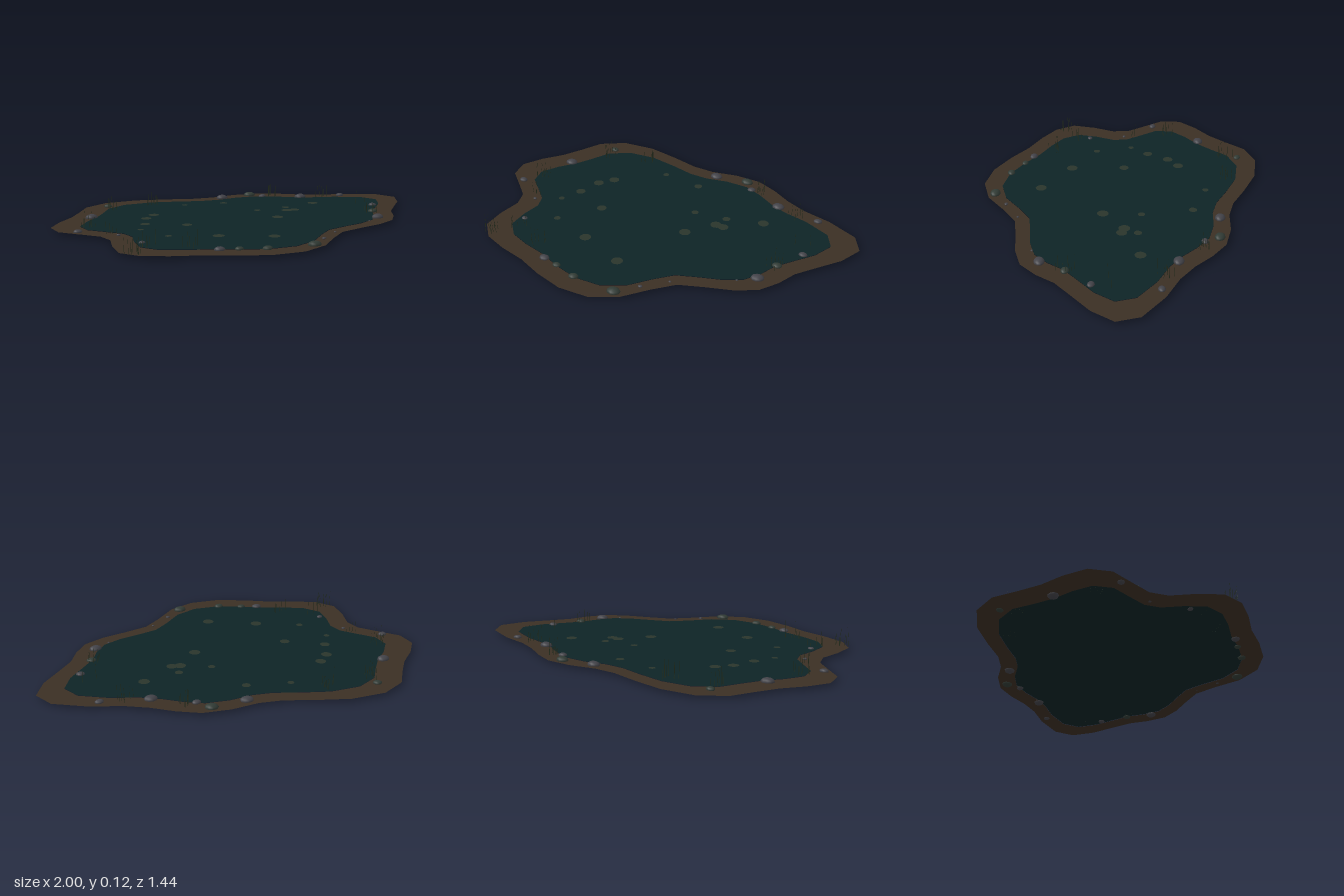
import * as THREE from 'three';

// Shoreline corners as x, z pairs in hundredths, clockwise seen from above
const SHORE = [
  -57, -72, -39, -72, -22, -67, -8, -62, 4, -60.5, 18, -62, 32, -60.5, 43, -54.5, 53, -47, 64, -41,
  79, -36, 95, -27, 100, -16, 94, -4, 84, 7, 76, 16, 71, 26, 64, 35, 53, 40, 40, 43,
  27, 46.5, 17, 55, 6, 66, -8, 72, -24, 71, -39, 65, -52, 58, -66, 53, -78, 47, -85, 37.5,
  -84, 25, -81, 13, -83, 4, -90, -4, -99, -14, -100, -25, -93, -35, -84, -44, -77, -54, -70, -65,
];
const INNER = 0.858;

// Rocks: x, z, radius, mossy flag
const ROCKS = [
  [-0.585, -0.615, 0.023, 1], [-0.75, -0.38, 0.034, 0], [-0.905, -0.095, 0.023, 0], [-0.745, 0.055, 0.011, 0],
  [-0.695, 0.25, 0.017, 0], [-0.42, 0.525, 0.027, 0], [-0.335, 0.555, 0.022, 1], [-0.215, 0.605, 0.026, 1],
  [0.015, 0.635, 0.035, 1], [0.115, 0.55, 0.012, 0], [0.23, 0.46, 0.008, 0], [0.08, -0.56, 0.034, 0],
  [0.26, -0.57, 0.034, 1], [0.31, -0.5, 0.023, 0], [0.5, -0.39, 0.034, 0], [0.735, -0.335, 0.023, 0],
  [0.75, -0.01, 0.023, 0], [0.66, 0.13, 0.026, 1], [0.605, 0.265, 0.034, 0], [0.52, 0.32, 0.007, 0],
];

// Lily pads: x, z, radius
const PADS = [
  [-0.19, -0.465, 0.017], [-0.435, -0.295, 0.028], [-0.5, -0.23, 0.028], [-0.55, -0.11, 0.026],
  [0.025, -0.417, 0.022], [0.11, -0.16, 0.019], [0.286, -0.165, 0.021], [0.255, -0.092, 0.03],
  [0.297, -0.085, 0.028], [0.478, -0.203, 0.029], [0.132, 0.037, 0.03], [-0.366, 0, 0.026],
  [-0.612, -0.005, 0.016], [-0.537, 0.182, 0.018], [-0.317, 0.284, 0.03], [-0.077, 0.407, 0.03],
];

// Reed tufts: x, z, blade count
const REEDS = [
  [-0.8, 0.41, 10], [-0.68, 0.33, 6], [-0.77, 0.03, 4], [-0.82, -0.18, 9], [-0.58, -0.55, 8],
  [-0.35, -0.57, 9], [-0.52, 0.42, 7], [0.37, -0.49, 8], [0.61, -0.34, 8], [0.65, 0.13, 8], [0.72, -0.1, 2],
];

function seeded(seed) {
  return () => {
    seed = (seed * 16807) % 2147483647;
    return seed / 2147483647;
  };
}

export function createModel() {
  const rand = seeded(4217);
  const group = new THREE.Group();
  group.name = 'pond';
  const material = (name, color, side = THREE.FrontSide) => {
    const m = new THREE.MeshStandardMaterial({ color, side });
    m.name = name;
    return m;
  };
  const mud = material('mud', 0x3b2f24, THREE.DoubleSide);
  const water = material('dark water', 0x0d2426, THREE.DoubleSide);
  const padGreen = material('pad green', 0x2a352b, THREE.DoubleSide);
  const stone = material('grey stone', 0x414147);
  const moss = material('mossy stone', 0x303a34);
  const reedGreen = material('reed green', 0x26301f, THREE.DoubleSide);

  const add = (name, geometry, mat, x = 0, y = 0, z = 0, parent = group) => {
    const mesh = new THREE.Mesh(geometry, mat);
    mesh.name = name;
    mesh.position.set(x, y, z);
    parent.add(mesh);
    return mesh;
  };
  const section = (name) => {
    const g = new THREE.Group();
    g.name = name;
    group.add(g);
    return g;
  };

  // Flat bank ring and the water sheet that fills it
  const outline = (scale) => {
    const points = [];
    for (let i = 0; i < SHORE.length; i += 2) {
      points.push(new THREE.Vector2(SHORE[i], -SHORE[i + 1]).multiplyScalar(scale / 100));
    }
    return points;
  };
  const flat = (shape) => new THREE.ShapeGeometry(shape).rotateX(-Math.PI / 2);
  const bank = new THREE.Shape(outline(1));
  bank.holes.push(new THREE.Path(outline(INNER)));
  add('bank', flat(bank), mud, 0, 0.016, 0);
  add('waterSurface', flat(new THREE.Shape(outline(INNER))), water, 0, 0.018, 0);

  // Floating lily pads
  const pads = section('lilyPads');
  PADS.forEach(([x, z, r], i) => {
    const disc = new THREE.CircleGeometry(r, 12).rotateX(-Math.PI / 2);
    add('lilyPad', disc, padGreen, x, 0.0195 + (i % 3) * 0.0003, z, pads);
  });

  // Squashed rocks half sunk into the bank
  const rocks = section('shoreRocks');
  const rockShape = new THREE.SphereGeometry(1, 9, 6);
  ROCKS.forEach(([x, z, r, mossy]) => {
    const rock = add('rock', rockShape, mossy ? moss : stone, x, 0.019, z, rocks);
    rock.scale.set(r, r * 0.52, r * 0.8);
    rock.rotation.y = rand() * 0.6 - 0.3;
  });

  // Tufts of hair-thin reeds
  const reeds = section('reeds');
  const blade = new THREE.ConeGeometry(0.0016, 1, 3).translate(0, 0.5, 0);
  REEDS.forEach(([x, z, count]) => {
    for (let i = 0; i < count; i++) {
      const a = rand() * Math.PI * 2;
      const d = 0.045 * Math.sqrt(rand());
      const reed = add('reed', blade, reedGreen, x + d * Math.cos(a), 0.016, z + d * Math.sin(a), reeds);
      reed.scale.y = 0.05 + 0.055 * rand();
      reed.rotation.set(0.08 * (rand() - 0.5), a, 0.08 * (rand() - 0.5));
    }
  });
  return group;
}
